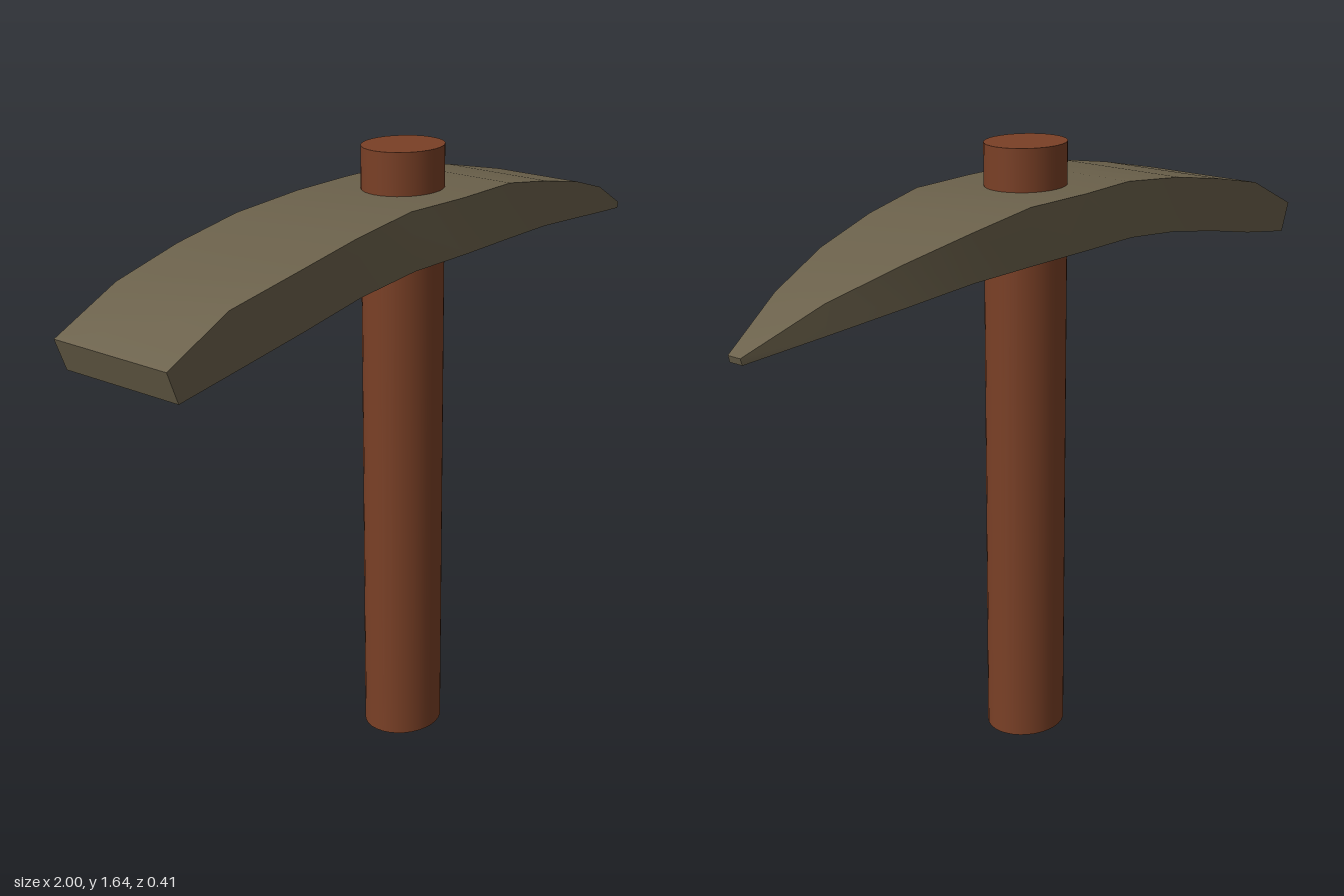
import * as THREE from 'three';

// Head stations: [top x, top y, bottom x, bottom y, top half-width, bottom half-width]
const STATIONS = [
  [-1, 1.34, -0.97, 1.26, 0.18, 0.18],
  [-0.81, 1.43, -0.78, 1.29, 0.18, 0.18],
  [-0.6, 1.475, -0.59, 1.33, 0.195, 0.195],
  [-0.4, 1.51, -0.39, 1.365, 0.195, 0.195],
  [-0.19, 1.53, -0.19, 1.385, 0.183, 0.196],
  [0, 1.53, 0, 1.39, 0.192, 0.206],
  [0.21, 1.53, 0.21, 1.385, 0.185, 0.187],
  [0.4, 1.5, 0.4, 1.378, 0.167, 0.167],
  [0.6, 1.458, 0.6, 1.355, 0.133, 0.133],
  [0.8, 1.4, 0.8, 1.325, 0.08, 0.08],
  [1, 1.31, 0.995, 1.293, 0.02, 0.02],
];

// Four strips smooth along the length, with sharp edges between them, and two end caps
function headGeometry() {
  const rings = STATIONS.map(([tx, ty, bx, by, tw, bw]) => [
    [tx, ty, tw], [tx, ty, -tw], [bx, by, -bw], [bx, by, bw],
  ]);
  const pos = [];
  const index = [];
  for (let s = 0; s < 4; s++) {
    const base = pos.length / 3;
    rings.forEach((r, i) => {
      pos.push(...r[s], ...r[(s + 1) % 4]);
      if (i === 0) return;
      const a = base + (i - 1) * 2;
      index.push(a, a + 2, a + 1, a + 1, a + 2, a + 3);
    });
  }
  const cap = (ring) => {
    const b = pos.length / 3;
    pos.push(...ring.flat());
    index.push(b, b + 1, b + 2, b, b + 2, b + 3);
  };
  cap(rings[0]);
  cap([...rings[rings.length - 1]].reverse());

  const g = new THREE.BufferGeometry();
  g.setAttribute('position', new THREE.Float32BufferAttribute(pos, 3));
  g.setIndex(index);
  g.computeVertexNormals();
  return g;
}

export function createModel() {
  const wood = new THREE.MeshStandardMaterial({ name: 'brown wood', color: 0x7a4026 });
  const metal = new THREE.MeshStandardMaterial({ name: 'dull metal', color: 0x6b614b });

  const model = new THREE.Group();
  model.name = 'pickaxe';

  // Slightly oval handle passing through the head
  const handle = new THREE.Mesh(new THREE.CylinderGeometry(1, 1, 1.64, 32), wood);
  handle.name = 'handle';
  handle.scale.set(0.114, 1, 0.102);
  handle.position.set(0.003, 0.82, 0);
  model.add(handle);

  // Curved head: broad blade at one end, point at the other
  const head = new THREE.Mesh(headGeometry(), metal);
  head.name = 'head';
  model.add(head);

  return model;
}
